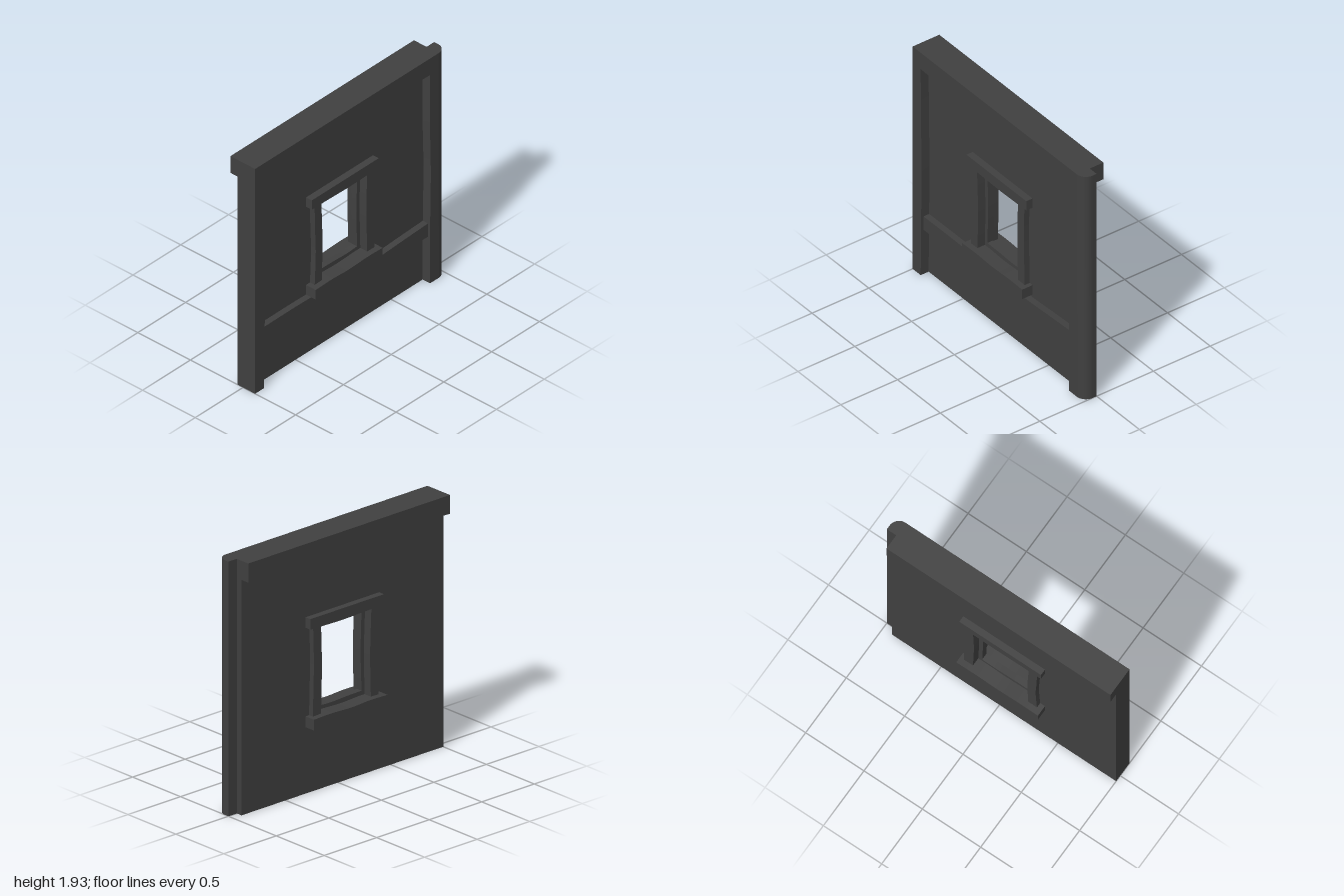
import * as THREE from 'three';
import { toCreasedNormals } from 'three/addons/utils/BufferGeometryUtils.js';

const material = new THREE.MeshStandardMaterial({ color: 0x404040 });

// Smooth hand-cut edge through a few points; two points stay straight
function edge(points) {
  if (points.length === 2) return points.map(([x, y]) => new THREE.Vector2(x, y));
  return new THREE.SplineCurve(points.map(([x, y]) => new THREE.Vector2(x, y))).getPoints(14);
}

// Outline from edges listed counter-clockwise, each a short list of points
const outline = (...edges) => edges.flatMap(edge)
  .filter((p, i, all) => p.distanceTo(all[(i + 1) % all.length]) > 1e-5);

const rect = (x0, y0, x1, y1) => outline([[x0, y0], [x1, y0]], [[x1, y1], [x0, y1]]);

export function createModel() {
  const group = new THREE.Group();

  function add(name, geometry) {
    const mesh = new THREE.Mesh(toCreasedNormals(geometry, 0.5), material);
    mesh.name = name;
    group.add(mesh);
  }

  // Board cut from an outline, running from z0 (back) to z1 (front)
  function board(name, points, z0, z1, hole) {
    const shape = new THREE.Shape(points);
    if (hole) shape.holes.push(new THREE.Path(hole));
    const geometry = new THREE.ExtrudeGeometry(shape, { depth: z1 - z0, bevelEnabled: false });
    add(name, geometry.translate(0, 0, z0));
  }

  const H = 1.93, FRONT = 0.115, BACK = -0.05, PANEL = 0.045;

  // Recessed wall panel with the window hole
  board('wallPanel', rect(-0.95, 0, 0.88, 1.86), BACK, PANEL, rect(-0.31, 0.545, 0.24, 1.295));

  // Left post with a wavering inner edge
  board('leftPost', outline(
    [[-1, 0], [-0.905, 0]],
    [[-0.905, 0], [-0.9, 0.5], [-0.893, 0.9], [-0.902, 1.35], [-0.905, 1.79]],
    [[-0.905, 1.86], [-1, 1.86]]), BACK, FRONT);

  // Right post: inner board plus a rounded outer corner
  board('rightPost', outline(
    [[0.92, 0], [0.92, 1.86]],
    [[0.83, 1.86], [0.83, 1.79]],
    [[0.83, 1.79], [0.828, 1.4], [0.838, 0.95], [0.83, 0.45], [0.83, 0]]), BACK, FRONT);
  const corner = new THREE.Shape();
  corner.moveTo(0.92, 0);
  corner.lineTo(1, 0);
  corner.lineTo(1, -0.035);
  corner.absarc(0.92, -0.035, 0.08, 0, -Math.PI / 2, true);
  corner.closePath();
  add('roundedCorner', new THREE.ExtrudeGeometry(corner, { depth: H, bevelEnabled: false, curveSegments: 16 })
    .rotateX(-Math.PI / 2));

  // Top beam, overhanging at the back
  board('topBeam', outline(
    [[-1, 1.787], [-0.9, 1.788], [-0.4, 1.777], [0.25, 1.796], [0.83, 1.788], [0.92, 1.785]],
    [[0.92, H], [-1, H]]), -0.12, FRONT);

  // Horizontal rail across the front
  board('frontRail', outline(
    [[-0.92, 0.39], [-0.5, 0.384], [0.1, 0.374], [0.5, 0.383], [0.85, 0.392]],
    [[0.85, 0.505], [0.55, 0.492], [0.27, 0.48], [-0.15, 0.493], [-0.5, 0.506], [-0.92, 0.504]]),
  0, 0.095);

  // Window sill and lintel, projecting on both faces
  board('windowSill', outline(
    [[-0.39, 0.503], [0.31, 0.503]],
    [[0.31, 0.585], [0.15, 0.589], [-0.05, 0.582], [-0.22, 0.589], [-0.39, 0.585]]), -0.137, 0.137);
  board('windowLintel', outline(
    [[-0.39, 1.257], [-0.2, 1.255], [0, 1.25], [0.2, 1.254], [0.31, 1.257]],
    [[0.31, 1.337], [-0.39, 1.337]]), -0.1, 0.1);

  // Bowed window jambs
  board('rightJamb', outline(
    [[-0.275, 0.57], [-0.27, 0.75], [-0.268, 0.95], [-0.28, 1.27]],
    [[-0.35, 1.27], [-0.345, 1.05], [-0.338, 0.85], [-0.35, 0.57]]), -0.09, 0.09);
  board('leftJamb', outline(
    [[0.278, 0.57], [0.272, 0.8], [0.268, 1.0], [0.275, 1.27]],
    [[0.2, 1.27], [0.192, 1.0], [0.194, 0.8], [0.2, 0.57]]), -0.09, 0.09);

  // Thin inner frame set back between the jambs
  board('innerFrame', rect(-0.3, 0.55, 0.23, 1.29), -0.025, 0.025, outline(
    [[-0.245, 0.622], [-0.1, 0.62], [0.05, 0.614], [0.165, 0.62]],
    [[0.165, 0.62], [0.16, 0.85], [0.16, 1.0], [0.168, 1.237]],
    [[0.168, 1.237], [0, 1.232], [-0.245, 1.237]],
    [[-0.245, 1.237], [-0.237, 1.0], [-0.237, 0.85], [-0.245, 0.622]]));

  return group;
}
